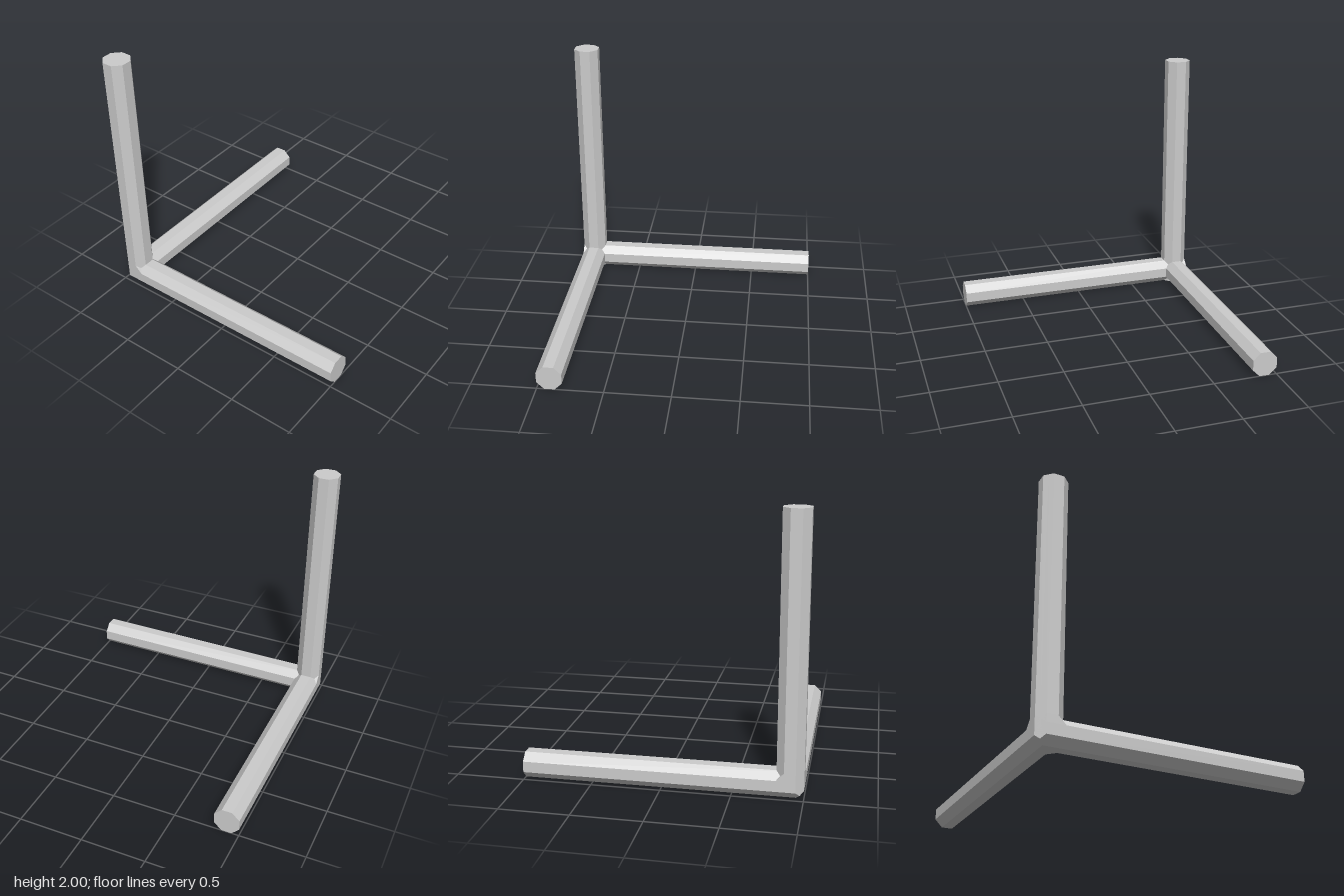
import * as THREE from 'three';

const LENGTH = 2;      // outer corner to bar end
const SIZE = 0.192;    // bar thickness across flats
const CUT = 0.056;     // corner cut of the octagon

// Octagonal section, counter-clockwise, with an extra point midway along the
// outer cut where the three bars meet.
const far = SIZE - CUT;
const SECTION = [
  [CUT / 2, CUT / 2], [CUT, 0], [far, 0], [SIZE, CUT], [SIZE, far],
  [far, SIZE], [CUT, SIZE], [0, far], [0, CUT],
];

// Octagonal bar along one axis (0 = x, 1 = y, 2 = -z), measured from the outer
// corner; its near end is bevelled to follow the cuts of the other two bars.
function barGeometry(axis) {
  const positions = [];
  const place = (u, v, w) => {
    const p = [0, 0, 0];
    [u, v, w].forEach((value, k) => { p[(axis + k) % 3] = value; });
    return [p[0] - LENGTH / 2, p[1], LENGTH / 2 - p[2]];
  };
  const tri = (...points) => points.forEach((p) => positions.push(...p));

  const start = SECTION.map(([v, w]) => place(Math.max(0, CUT - v, CUT - w), v, w));
  const end = SECTION.map(([v, w]) => place(LENGTH, v, w));
  const startHub = place(0, CUT, CUT);
  const endHub = place(LENGTH, SIZE / 2, SIZE / 2);

  SECTION.forEach((_, i) => {
    const j = (i + 1) % SECTION.length;
    tri(start[i], end[j], start[j]); // side
    tri(start[i], end[i], end[j]);
    tri(startHub, start[i], start[j]); // bevelled corner end
    tri(endHub, end[j], end[i]); // flat far end
  });

  const geometry = new THREE.BufferGeometry();
  geometry.setAttribute('position', new THREE.Float32BufferAttribute(positions, 3));
  geometry.computeVertexNormals();
  return geometry;
}

export function createModel() {
  const group = new THREE.Group();
  group.name = 'axisCorner';
  const material = new THREE.MeshStandardMaterial({ color: 0xcccccc, flatShading: true });

  ['sidewaysBar', 'uprightBar', 'backwardBar'].forEach((name, axis) => {
    const bar = new THREE.Mesh(barGeometry(axis), material);
    bar.name = name;
    group.add(bar);
  });
  return group;
}
